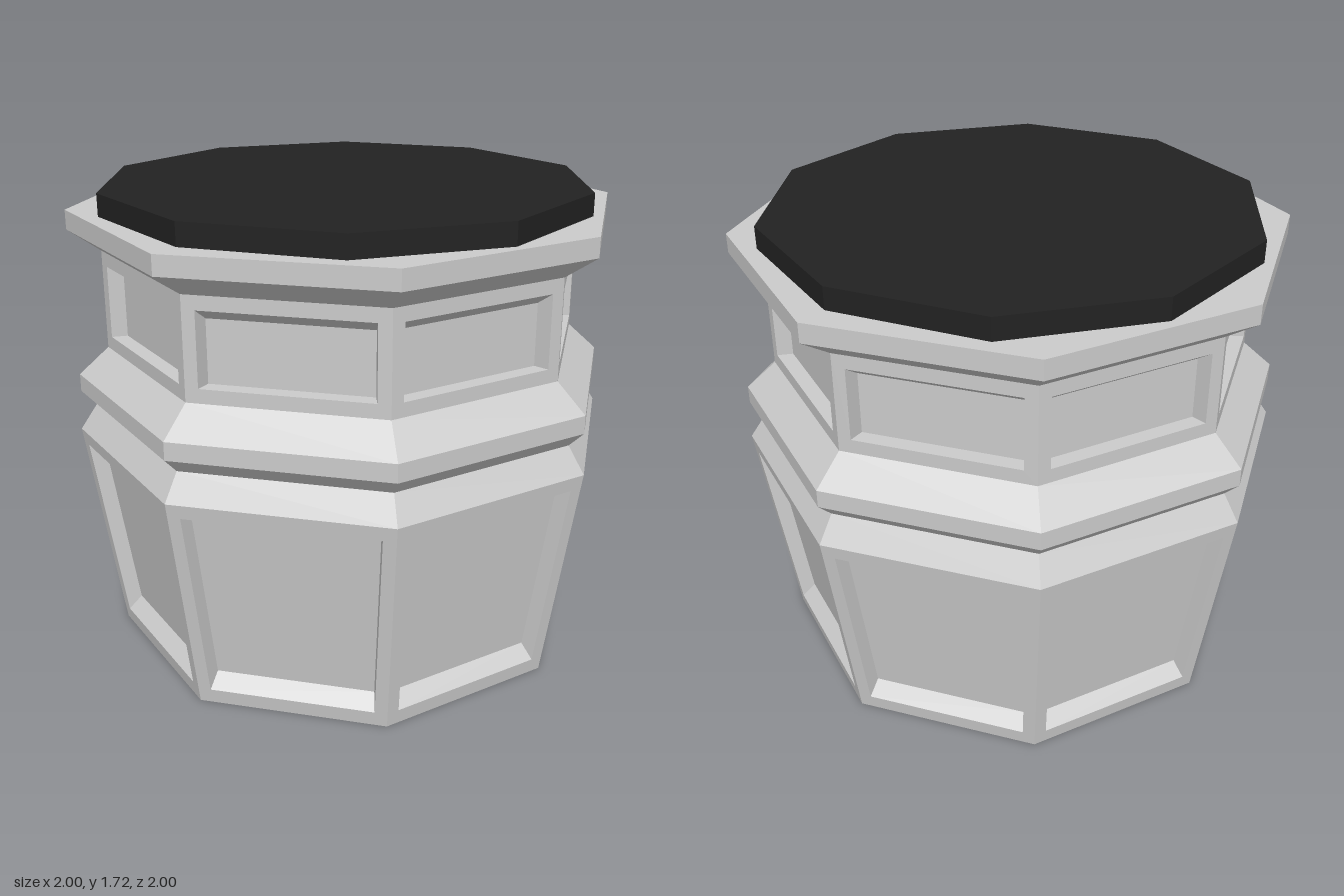
import * as THREE from 'three';

const SIDES = 8;
const HALF = Math.PI / SIDES;
const stone = new THREE.MeshStandardMaterial({ color: 0xcccccc, flatShading: true });
const dark = new THREE.MeshStandardMaterial({ color: 0x222222, flatShading: true });

// Octagonal moulding from a [radius, height] profile running bottom to top
function moulding(name, profile) {
  const points = profile.map(([r, y]) => new THREE.Vector2(r, y));
  const mesh = new THREE.Mesh(new THREE.LatheGeometry(points, SIDES), stone);
  mesh.name = name;
  return mesh;
}

// Ring of eight framed, recessed panels between two octagons.
// opening and back are the [bottom, top] heights of the frame opening and sunk panel.
function panelBand(name, [r0, y0], [r1, y1], opening, back) {
  const margin = 0.045, inset = 0.015, depth = 0.055;
  const radius = (y) => THREE.MathUtils.mapLinear(y, y0, y1, r0, r1);
  const positions = [];

  for (let i = 0; i < SIDES; i++) {
    const angle = (2 * i + 1) * HALF;
    const corner = (side, y, trim, sink) => {
      const u = side * (radius(y) * Math.sin(HALF) - trim);
      const d = radius(y) * Math.cos(HALF) - sink;
      return [
        u * Math.cos(angle) + d * Math.sin(angle),
        y,
        d * Math.cos(angle) - u * Math.sin(angle),
      ];
    };
    const loop = ([low, high], trim, sink) => [
      corner(-1, low, trim, sink), corner(1, low, trim, sink),
      corner(1, high, trim, sink), corner(-1, high, trim, sink),
    ];
    const quad = (a, b, c, d) => positions.push(...a, ...b, ...c, ...a, ...c, ...d);

    // frame edge, frame opening, sunk panel
    const loops = [
      loop([y0, y1], 0, 0),
      loop(opening, margin, 0),
      loop(back, margin + inset, depth),
    ];
    for (let l = 0; l < 2; l++) {
      for (let k = 0; k < 4; k++) {
        const n = (k + 1) % 4;
        quad(loops[l][k], loops[l][n], loops[l + 1][n], loops[l + 1][k]);
      }
    }
    quad(...loops[2]);
  }

  const geometry = new THREE.BufferGeometry();
  geometry.setAttribute('position', new THREE.Float32BufferAttribute(positions, 3));
  geometry.computeVertexNormals();
  const mesh = new THREE.Mesh(geometry, stone);
  mesh.name = name;
  return mesh;
}

export function createModel() {
  const model = new THREE.Group();
  model.name = 'octagonalPedestal';

  // Underside and flared lower body
  model.add(moulding('underside', [[0, 0], [0.88, 0]]));
  model.add(panelBand('lowerPanels', [0.88, 0], [1, 0.815], [0.055, 0.765], [0.105, 0.77]));

  // Pinched waist with projecting ledge
  model.add(moulding('waistMoulding', [
    [1, 0.815], [0.937, 0.91], [0.99, 0.965], [0.99, 1.03], [0.88, 1.13],
  ]));

  // Straight upper body
  model.add(panelBand('upperPanels', [0.88, 1.13], [0.88, 1.49], [1.18, 1.44], [1.18, 1.4]));

  // Overhanging cornice with a flat top
  model.add(moulding('cornice', [[0.88, 1.49], [0.995, 1.57], [0.995, 1.64], [0, 1.64]]));

  // Ten-sided dark slab
  const slab = new THREE.Mesh(new THREE.CylinderGeometry(0.887, 0.887, 0.08, 10), dark);
  slab.name = 'topSlab';
  slab.position.y = 1.68;
  model.add(slab);

  return model;
}
